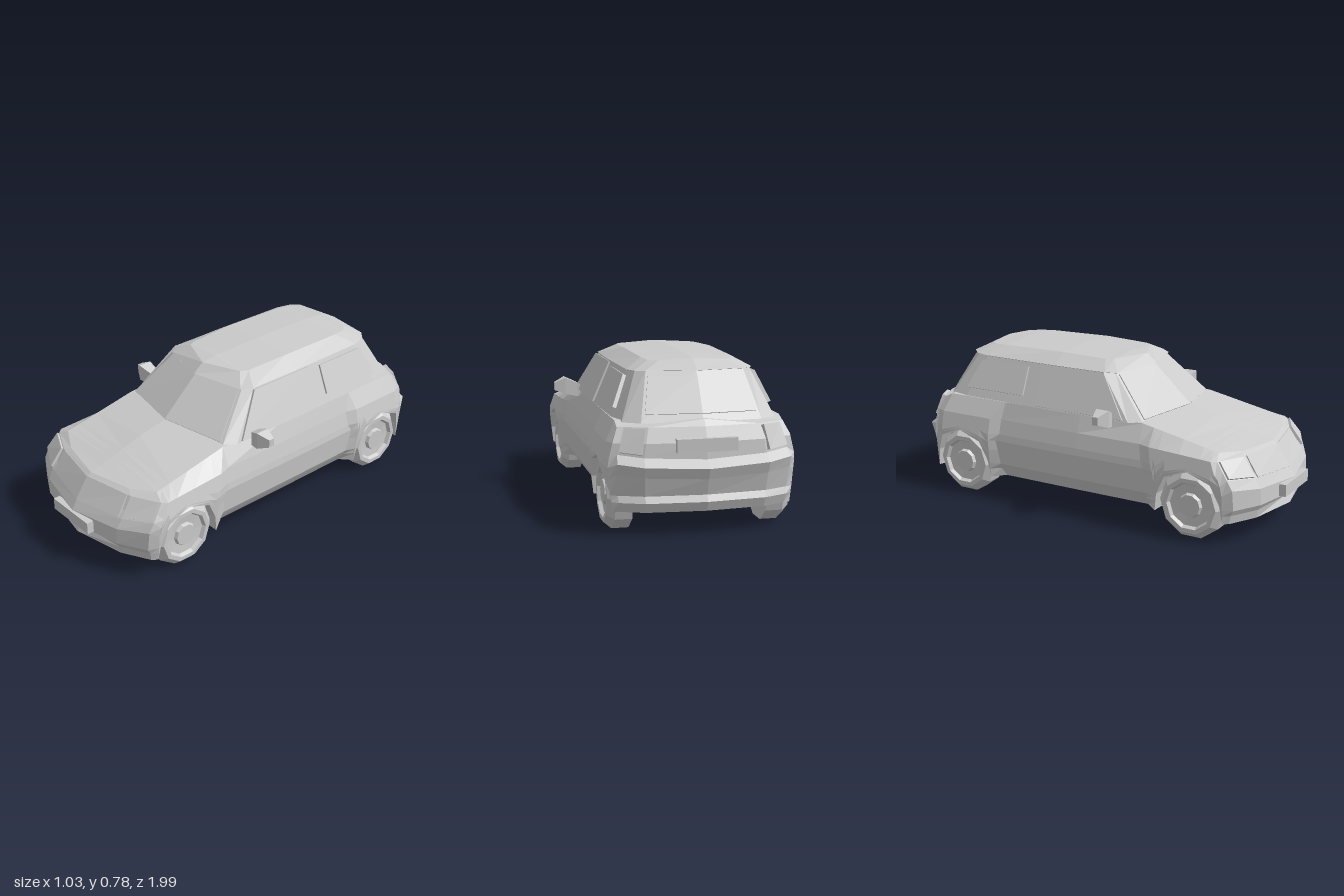
import * as THREE from 'three';

const V = (x, y, z) => new THREE.Vector3(x, y, z);
const flip = p => V(-p.x, p.y, p.z);
const material = new THREE.MeshStandardMaterial({ color: 0xcccccc, flatShading: true, side: THREE.DoubleSide });

// Half outline (front centre to rear centre) mirrored into a closed ring
const fullRing = half => [...half, ...half.slice(1, -1).reverse().map(flip)];

const quad = (out, a, b, c, d) => out.push(a, b, c, a, c, d);

function loft(out, rings) {
  for (let k = 0; k < rings.length - 1; k++) {
    const lo = rings[k], hi = rings[k + 1], n = lo.length;
    for (let i = 0; i < n; i++) quad(out, lo[i], lo[(i + 1) % n], hi[(i + 1) % n], hi[i]);
  }
}

// Crowned lid across a half outline; rise gives the crown height at z
function crownCap(out, half, rise) {
  const last = half.length - 1;
  const mid = half.map((p, i) => V(0, p.y + (i === 0 || i === last ? 0 : rise(p.z)), p.z));
  for (let i = 0; i < last; i++) {
    quad(out, half[i], half[i + 1], mid[i + 1], mid[i]);
    quad(out, mid[i], mid[i + 1], flip(half[i + 1]), flip(half[i]));
  }
}

function mesh(name, geometry) {
  const m = new THREE.Mesh(geometry, material);
  m.name = name;
  return m;
}

function fromTriangles(name, pts) {
  const g = new THREE.BufferGeometry().setFromPoints(pts);
  g.computeVertexNormals();
  return mesh(name, g);
}

// Thin slab on a surface; corners run counter-clockwise seen from outside.
// A central slab is lifted without sideways shift, so both halves meet at x = 0.
function panel(name, pts, t, central) {
  const n = pts[2].clone().sub(pts[0]).cross(pts[3].clone().sub(pts[1]));
  if (central) n.x = 0;
  n.normalize();
  const move = d => pts.map(p => p.clone().addScaledVector(n, d));
  const out = [], top = move(t);
  loft(out, [move(-0.01), top]);
  quad(out, ...top);
  return fromTriangles(name, out);
}

function panelPair(group, name, corners, t, central = false) {
  group.add(panel(name + 'Left', corners, t, central));
  group.add(panel(name + 'Right', corners.map(flip).reverse(), t, central));
}

function shrink(corners, k) {
  const c = corners.reduce((s, p) => s.add(p), V(0, 0, 0)).divideScalar(corners.length);
  return corners.map(p => c.clone().lerp(p, k));
}

const AXLES = [0.625, -0.695], AXLE_Y = 0.162;
const FLOOR = 0.11, WAIST = 0.42;

// Plan outline: x, z and lower edge height, with the wheel openings stepped in
const ARCH = [[0.178, 0.11], [0.165, 0.2], [0.12, 0.295], [0, 0.338], [-0.12, 0.295], [-0.165, 0.2], [-0.178, 0.11]];
const arch = axle => ARCH.map(([o, lo]) => ({ x: axle + o < -0.85 ? 0.41 : 0.43, z: axle + o, lo, arch: true }));
const PLAN = [
  { x: 0, z: 0.96 }, { x: 0.27, z: 0.905 }, { x: 0.41, z: 0.83 },
  ...arch(AXLES[0]),
  { x: 0.41, z: 0.38, door: true }, { x: 0.412, z: 0, door: true }, { x: 0.41, z: -0.46, door: true },
  ...arch(AXLES[1]),
  { x: 0.38, z: -0.88 }, { x: 0.27, z: -0.926 }, { x: 0, z: -0.95 },
];

// Body levels: height, nose z, tail z, sill undercut at the doors
const LEVELS = [
  [0.11, 0.96, -0.95, 0.04], [0.155, 0.968, -0.97, 0.015], [0.185, 0.985, -0.955, 0],
  [0.26, 0.98, -0.98, 0], [0.31, 0.95, -1.0, 0], [0.345, 0.92, -0.955, 0], [0.42, 0.88, -0.95, 0],
];

// Half width of the body by height
const WIDTHS = [[0.11, 0.435], [0.185, 0.444], [0.32, 0.457], [0.43, 0.43]];
function widthAt(y) {
  const i = y < 0.185 ? 0 : y < 0.32 ? 1 : 2;
  const [[y0, w0], [y1, w1]] = [WIDTHS[i], WIDTHS[i + 1]];
  return w0 + (w1 - w0) * (y - y0) / (y1 - y0);
}

function levelHalf([height, nose, tail, undercut], level) {
  return PLAN.map((p, i) => {
    const scale = p.z > 0 ? nose / 0.96 : tail / -0.95;
    let z = p.z * (p.arch ? Math.min(1, scale) : scale);
    if (level === 1 && i === 0) z -= 0.025; // air intake
    const top = WAIST - 0.05 * Math.max(0, z - 0.4), lo = p.lo ?? FLOOR;
    let y = lo + (height - FLOOR) / (WAIST - FLOOR) * (top - lo);
    if (level > 2 && level < 6 && Math.abs(z) > 0.75 && !p.arch) y += 0.17 * p.x * p.x; // bumper sweeps up
    return V(p.x * widthAt(y) / 0.43 - (p.door ? undercut : 0), y, z);
  });
}

// Belt line, falling along the bonnet
function beltHalf() {
  return PLAN.map((p, i) => {
    const z = p.z * (p.z > 0 ? 0.86 / 0.96 : 0.92 / 0.95);
    const y = z > 0.33 ? 0.51 - (z - 0.33) * 0.2 : z < -0.8 ? 0.487 : 0.507;
    return V(Math.min(p.x, 0.41) * (z > 0.3 ? 0.362 : 0.386) / 0.41, i === 0 ? 0.41 : y, z);
  });
}

function addBody(car) {
  const halves = [...LEVELS.map(levelHalf), beltHalf()];
  const lip = halves[0].map((p, i) => V(PLAN[i].arch ? 0.36 : p.x * 0.9, p.y, PLAN[i].arch ? p.z : p.z * 0.97));
  const out = [];
  loft(out, [lip, ...halves].map(fullRing));
  crownCap(out, halves[7], z => 0.03 * Math.min(1, (0.9 - z) * 3));
  car.add(fromTriangles('body', out));

  // Flat floor and the inner walls of the wheel wells
  const outline = halves[0].map((p, i) => V(PLAN[i].arch ? 0.37 : p.x * 0.98, 0.112, p.z * 0.99));
  const floor = [];
  for (let i = 0; i < outline.length - 1; i++) {
    quad(floor, flip(outline[i]), flip(outline[i + 1]), outline[i + 1], outline[i]);
  }
  car.add(fromTriangles('floor', floor));
  const core = mesh('wheelWells', new THREE.BoxGeometry(0.74, 0.25, 1.6));
  core.position.set(0, 0.24, -0.04);
  car.add(core);

  // Lamps, grille and plates
  const [h4, h5, h6, h7] = halves.slice(4);
  panelPair(car, 'headlight', shrink([h4[1], h4[2], h6[2], h6[1]], 0.92), 0.012);
  const inner = h => h[0].clone().lerp(h[1], 0.93);
  panelPair(car, 'grille', [h4[0], inner(h4), inner(h6), h6[0]], 0.004, true);
  const r = PLAN.length - 3;
  panelPair(car, 'taillight', shrink([h5[r], h5[r + 1], h7[r + 1], h7[r]], 0.85), 0.022);
  for (const [name, y, z] of [['frontPlate', 0.215, 0.975], ['rearPlate', 0.41, -0.945]]) {
    const plate = mesh(name, new THREE.BoxGeometry(0.28, 0.06, 0.035));
    plate.position.set(0, y, z);
    car.add(plate);
  }
}

function addCabin(car) {
  const base = [[0, 0.52, 0.41], [0.35, 0.508, 0.33], [0.385, 0.505, 0.27], [0.388, 0.505, -0.2],
    [0.382, 0.505, -0.7], [0.358, 0.5, -0.81], [0.28, 0.5, -0.86], [0, 0.5, -0.885]].map(p => V(...p));
  const head = [[0, 0.712, 0.2], [0.26, 0.705, 0.13], [0.295, 0.71, 0.08], [0.3, 0.71, -0.2],
    [0.293, 0.71, -0.62], [0.272, 0.712, -0.69], [0.23, 0.715, -0.73], [0, 0.715, -0.76]].map(p => V(...p));
  const eaves = head.map(p => V(p.x * 1.015, p.y + 0.003, (p.z + 0.28) * 1.03 - 0.28));
  const roof = [[0, 0.76, 0.16], [0.19, 0.757, 0.08], [0.21, 0.757, 0.04], [0.22, 0.765, -0.2],
    [0.215, 0.76, -0.56], [0.2, 0.755, -0.64], [0.16, 0.755, -0.68], [0, 0.76, -0.7]].map(p => V(...p));
  const out = [];
  loft(out, [base, head, eaves, roof].map(fullRing));
  crownCap(out, roof, () => 0.012);
  car.add(fromTriangles('cabin', out));

  // Front and rear glass, each in two halves meeting at the centre line
  const at = (i, t) => base[i].clone().lerp(head[i], t);
  const inset = (i, t) => at(i, t).lerp(at(i === 1 ? 0 : 7, t), 0.05);
  panelPair(car, 'windscreen', [at(0, 0.03), inset(1, 0.03), inset(1, 0.96), at(0, 0.96)], 0.005, true);
  panelPair(car, 'rearWindow', [inset(6, 0.16), at(7, 0.16), at(7, 0.9), inset(6, 0.9)], 0.006, true);

  // Side glass
  const side = (z, y) => V(0.389 - (y - 0.505) * 0.435, y, z);
  panelPair(car, 'doorWindow', [side(0.24, 0.512), side(-0.27, 0.512), side(-0.27, 0.705), side(0.09, 0.705)], 0.008);
  panelPair(car, 'quarterWindow', [side(-0.35, 0.55), side(-0.7, 0.55), side(-0.64, 0.69), side(-0.35, 0.69)], 0.008);
}

function addMirrors(car) {
  // Cross-sections from root to tip: x, bottom, top, back, front
  const sections = [[0.37, 0.485, 0.525, 0.13, 0.16], [0.4, 0.477, 0.548, 0.135, 0.19],
    [0.46, 0.49, 0.575, 0.14, 0.21], [0.515, 0.51, 0.55, 0.15, 0.18]];
  const rings = sections.map(([x, y0, y1, z0, z1]) => [V(x, y0, z1), V(x, y0, z0), V(x, y1, z0), V(x, y1, z1)]);
  const out = [];
  loft(out, rings);
  quad(out, ...rings[3]);
  car.add(fromTriangles('mirrorLeft', out));
  car.add(fromTriangles('mirrorRight', out.map(flip).reverse()));
}

function addWheels(car) {
  // Radius and distance from the centre line: tyre, rim dish, hub
  const profile = [[0, 0.315], [0.17, 0.315], [0.17, 0.395], [0.14, 0.43], [0.118, 0.43], [0.108, 0.412],
    [0.062, 0.408], [0.055, 0.425], [0, 0.425]].map(p => new THREE.Vector2(...p));
  const geometry = new THREE.LatheGeometry(profile, 10);
  AXLES.forEach((z, i) => {
    for (const s of [1, -1]) {
      const wheel = mesh((i ? 'rear' : 'front') + 'Wheel' + (s > 0 ? 'Left' : 'Right'), geometry);
      wheel.rotation.z = -s * Math.PI / 2;
      wheel.position.set(0, AXLE_Y, z);
      car.add(wheel);
    }
  });
}

export function createModel() {
  const car = new THREE.Group();
  car.name = 'car';
  addBody(car);
  addCabin(car);
  addMirrors(car);
  addWheels(car);
  return car;
}
